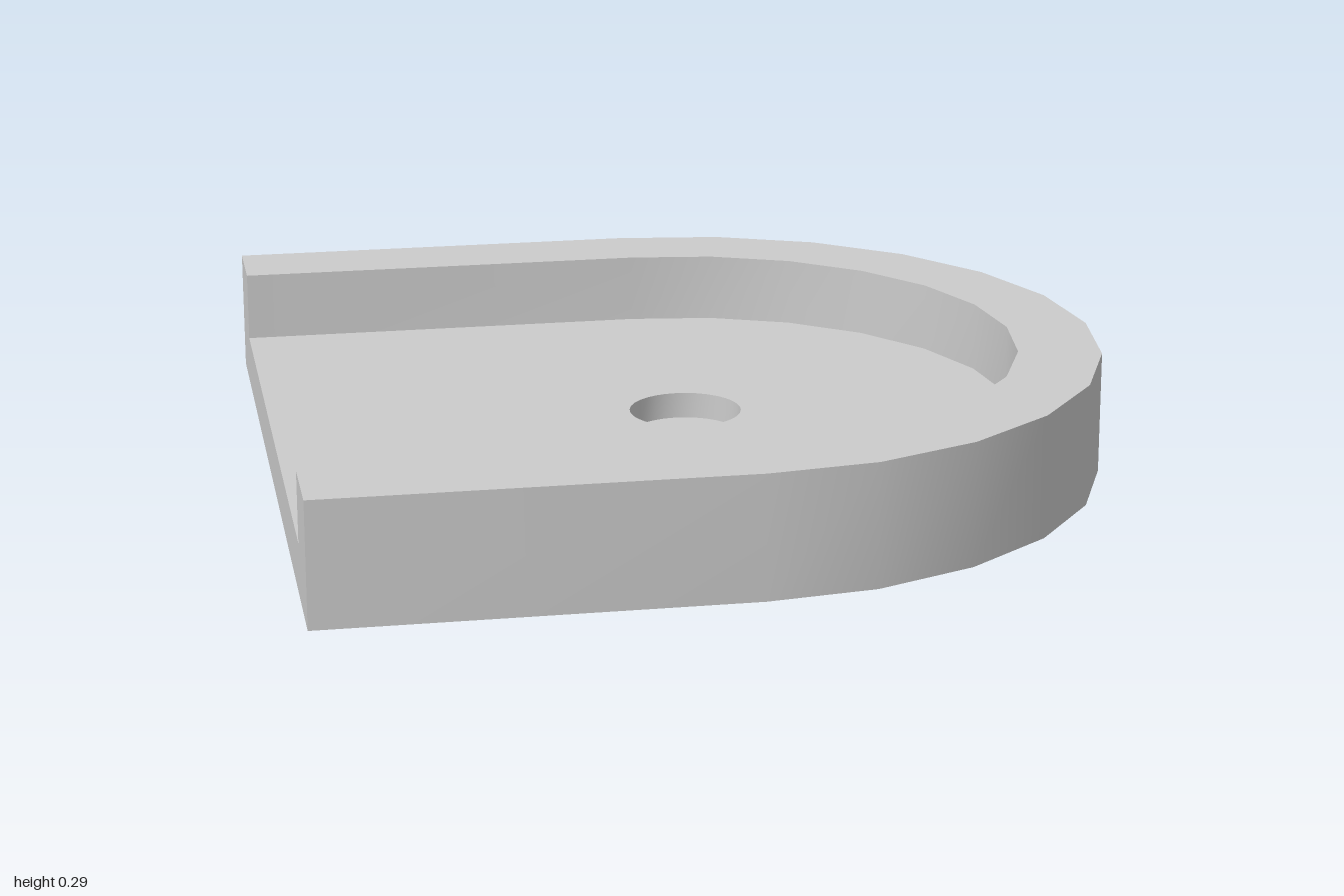
import * as THREE from 'three';
import { toCreasedNormals } from 'three/addons/utils/BufferGeometryUtils.js';

const TOP = 0.295, FLOOR = 0.128, POCKET = 0.065;
const OUTER = 1, INNER = 0.8, HOLE = 0.135;

// Points (x, z) on an arc that runs from the front round by +x to the back
function arc(radius, sweep, segments) {
  return Array.from({ length: segments + 1 }, (_, i) => {
    const t = (sweep * i) / segments;
    return new THREE.Vector2(radius * Math.sin(t), radius * Math.cos(t));
  });
}

// Open U outline: straight sides with a half-round end
function outline(r) {
  return [new THREE.Vector2(-1, r), ...arc(r, Math.PI, 12), new THREE.Vector2(-1, -r)];
}

// Upright strip along a path, facing the right-hand side of travel
function wall(points, y0, y1) {
  const pos = [];
  for (let i = 0; i < points.length - 1; i++) {
    const p = points[i], q = points[i + 1];
    pos.push(p.x, y0, p.y, q.x, y0, q.y, q.x, y1, q.y);
    pos.push(p.x, y0, p.y, q.x, y1, q.y, p.x, y1, p.y);
  }
  const g = new THREE.BufferGeometry();
  g.setAttribute('position', new THREE.Float32BufferAttribute(pos, 3));
  return toCreasedNormals(g, 0.6);
}

// Flat horizontal face, facing up or down
function face(points, y, up = true, hole = null) {
  const flip = (list) => list.map((p) => new THREE.Vector2(p.x, up ? -p.y : p.y));
  const shape = new THREE.Shape(flip(points));
  if (hole) shape.holes.push(new THREE.Path(flip(hole)));
  return new THREE.ShapeGeometry(shape).rotateX(up ? -Math.PI / 2 : Math.PI / 2).translate(0, y, 0);
}

export function createModel() {
  const group = new THREE.Group();
  const material = new THREE.MeshStandardMaterial({ color: 0xcccccc });
  const add = (name, geometry) => {
    const mesh = new THREE.Mesh(geometry, material);
    mesh.name = name;
    group.add(mesh);
  };

  const outer = outline(OUTER);
  const inner = outline(INNER);
  const innerBack = [...inner].reverse();
  const circle = arc(HOLE, Math.PI * 2, 32);
  const disc = circle.slice(0, -1);

  // Body
  add('underside', face(outer, 0, false));
  add('outerWall', wall(outer, 0, TOP));

  // Raised rim round three sides
  add('rimTop', face([...outer, ...innerBack], TOP));
  add('rimInnerWall', wall(innerBack, FLOOR, TOP));

  // Recessed floor with a shallow round pocket
  add('floor', face(inner, FLOOR, true, disc));
  add('pocketWall', wall([...circle].reverse(), POCKET, FLOOR));
  add('pocketBottom', face(disc, POCKET));

  // Open end, a shallow U in section
  const section = new THREE.Shape([
    [-OUTER, 0], [OUTER, 0], [OUTER, TOP], [INNER, TOP],
    [INNER, FLOOR], [-INNER, FLOOR], [-INNER, TOP], [-OUTER, TOP],
  ].map(([z, y]) => new THREE.Vector2(z, y)));
  add('openEnd', new THREE.ShapeGeometry(section).rotateY(-Math.PI / 2).translate(-1, 0, 0));

  return group;
}
